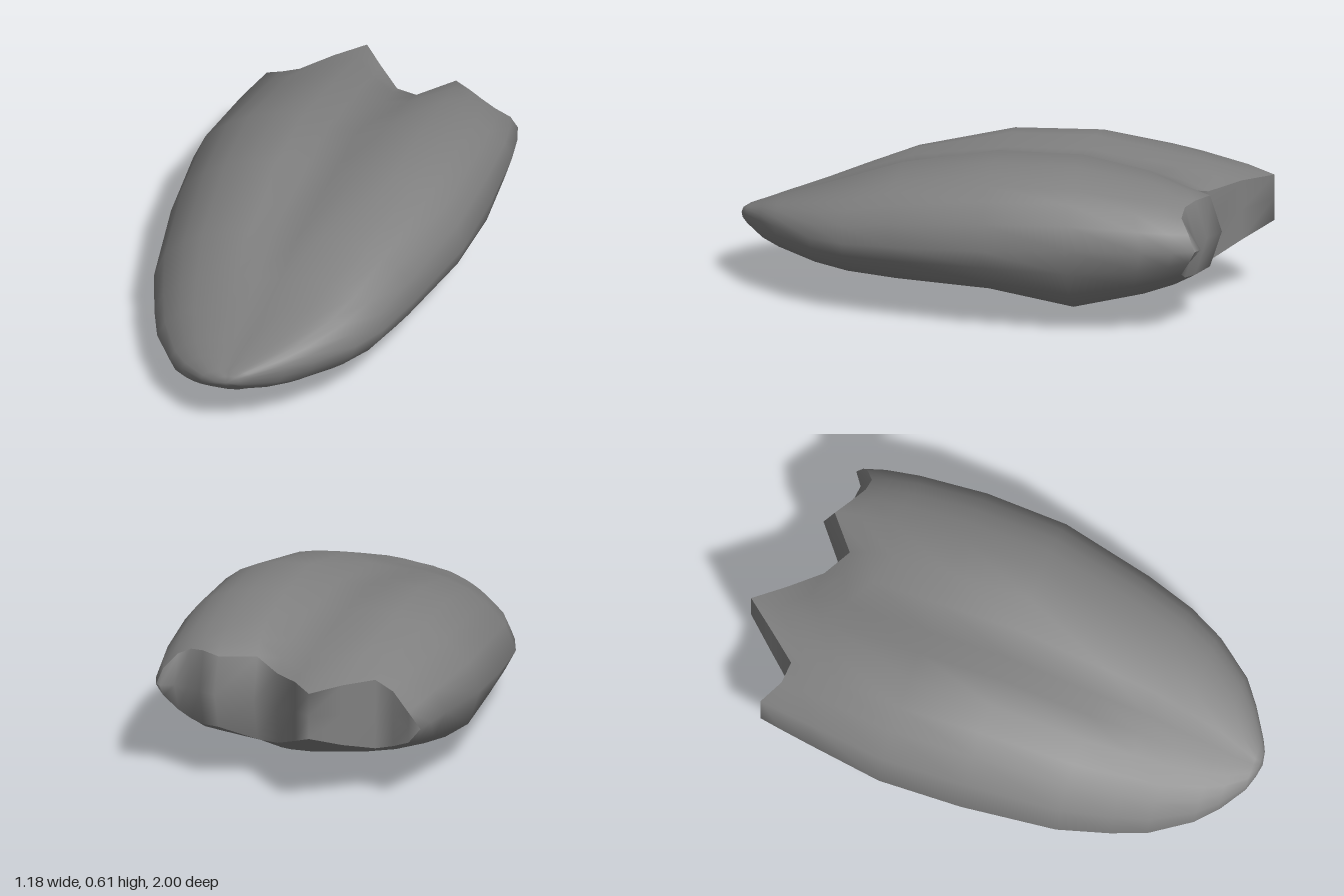
import * as THREE from 'three';

// Columns across the width: [u, crown share, belly share, z of the jagged rear edge]
const COLUMNS = [
  [-1, 0, 0, -0.82], [-0.92, 0.38, 0.42, -0.835], [-0.77, 0.66, 0.62, -0.78],
  [-0.63, 0.82, 0.74, -0.77], [-0.45, 0.93, 0.84, -0.885], [-0.27, 0.95, 0.92, -1],
  [-0.1, 0.84, 0.98, -0.89], [0.1, 0.83, 1, -0.78], [0.29, 1, 0.92, -0.76],
  [0.52, 0.95, 0.87, -0.865], [0.66, 0.87, 0.83, -0.82], [0.77, 0.76, 0.73, -0.79],
  [0.87, 0.6, 0.58, -0.785], [0.96, 0.34, 0.3, -0.82], [1, 0, 0, -0.8],
];

// Stations along the length: [z, left x, right x, rim height, crown, belly, sideways tilt]
const STATIONS = [
  [0.99, -0.07, 0.03, 0.25, 0.022, 0.02, 0.01],
  [0.97, -0.13, 0.07, 0.25, 0.033, 0.045, 0.02],
  [0.9, -0.23, 0.18, 0.245, 0.065, 0.09, 0.04],
  [0.83, -0.3, 0.27, 0.24, 0.1, 0.11, 0.055],
  [0.68, -0.4, 0.385, 0.235, 0.16, 0.14, 0.06],
  [0.55, -0.455, 0.45, 0.245, 0.2, 0.165, 0.055],
  [0.36, -0.52, 0.505, 0.265, 0.25, 0.195, 0.05],
  [0, -0.575, 0.58, 0.3, 0.295, 0.235, 0.04],
  [-0.32, -0.595, 0.588, 0.325, 0.27, 0.328, 0.035],
  [-0.6, -0.555, 0.57, 0.33, 0.22, 0.25, 0.03],
  [-0.72, -0.535, 0.55, 0.33, 0.195, 0.2, 0.03],
  [-0.8, -0.52, 0.525, 0.33, 0.17, 0.15, 0.03],
  [-1, -0.52, 0.525, 0.33, 0.145, 0.045, 0.03],
];
const TIP = [-0.02, 0.25, 1];
const REAR_START = -0.32, REAR_END = -0.8;

// Station values at any z
function sample(z) {
  let i = 0;
  while (i < STATIONS.length - 2 && z < STATIONS[i + 1][0]) i++;
  const a = STATIONS[i], b = STATIONS[i + 1];
  const k = THREE.MathUtils.clamp((z - a[0]) / (b[0] - a[0]), 0, 1);
  return a.map((v, n) => THREE.MathUtils.lerp(v, b[n], k));
}

// Point on the upper (side = 1) or lower (side = -1) skin
function skinPoint(stationZ, [u, crown, belly, rearZ], side) {
  const k = Math.max(0, (REAR_START - stationZ) / (REAR_START - REAR_END));
  // the lips on the left part stay behind the wall so that the end looks rounded
  const inset = u > 0.2 && u < 1 ? 0.045 : 0;
  const z = k > 0 ? THREE.MathUtils.lerp(REAR_START, rearZ + inset, k) : stationZ;
  const [, left, right] = sample(stationZ);
  const [, , , rim, up, down, tilt] = sample(z);
  const x = THREE.MathUtils.lerp(left, right, (u + 1) / 2);
  // the valley along the crown fades out towards the front
  const fill = 0.17 * Math.exp(-((u / 0.2) ** 2)) * THREE.MathUtils.smoothstep(z, -0.1, 0.6);
  let y = rim + tilt * u + (side > 0 ? up * (crown + fill) : -down * belly);
  // the crown dips into the notch at the rear
  if (side > 0) y -= 0.07 * k ** 4 * Math.exp(-(((u - 0.22) / 0.14) ** 2));
  return [x, y, z];
}

function geometryFrom(positions, index) {
  const g = new THREE.BufferGeometry();
  g.setAttribute('position', new THREE.Float32BufferAttribute(positions, 3));
  g.setIndex(index);
  g.computeVertexNormals();
  return g;
}

// Rounded body: closed rings lofted from the front tip to the rear
function bodyGeometry() {
  const positions = [], index = [];
  const zs = STATIONS.slice(0, -1).map((s) => s[0]);
  const lower = COLUMNS.slice(1, -1).reverse();
  const n = COLUMNS.length + lower.length;
  const tip = zs.length * n;
  zs.forEach((z, i) => {
    COLUMNS.forEach((c) => positions.push(...skinPoint(z, c, 1)));
    lower.forEach((c) => positions.push(...skinPoint(z, c, -1)));
    for (let j = 0; j < n; j++) {
      const a = i * n + j, b = i * n + (j + 1) % n;
      if (i === 0) index.push(tip, b, a);
      if (i < zs.length - 1) index.push(a, b, b + n, a, b + n, a + n);
    }
  });
  positions.push(...TIP);
  return geometryFrom(positions, index);
}

// Jagged wall closing the rear, bulging to the rear edge at mid height
function rearGeometry() {
  const positions = [], index = [];
  COLUMNS.forEach((c, j) => {
    const top = skinPoint(REAR_END, c, 1), bottom = skinPoint(REAR_END, c, -1);
    positions.push(...top, top[0], (top[1] + bottom[1]) / 2, c[3], ...bottom);
    if (j === COLUMNS.length - 1) return;
    for (const t of [j * 3, j * 3 + 1]) index.push(t, t + 3, t + 4, t, t + 4, t + 1);
  });
  return geometryFrom(positions, index);
}

export function createModel() {
  const group = new THREE.Group();
  const material = new THREE.MeshStandardMaterial({ color: 0x808080 });
  const add = (name, geometry) => {
    const mesh = new THREE.Mesh(geometry, material);
    mesh.name = name;
    group.add(mesh);
  };
  add('body', bodyGeometry());
  add('jaggedRear', rearGeometry());
  return group;
}
